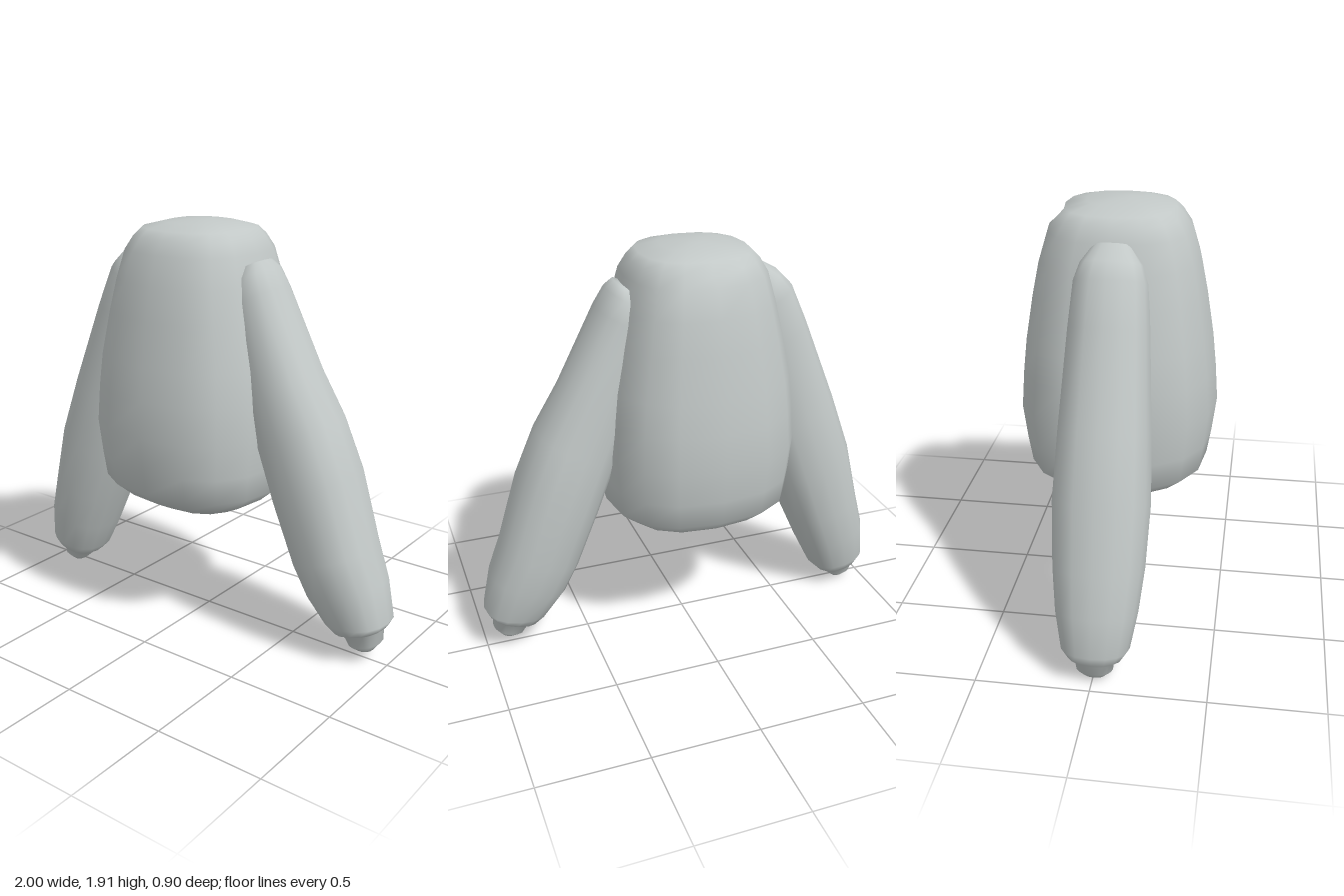
import * as THREE from 'three';

const SIDES = 16;

// Smooth closed skin through rings; each ring is [outerX, outerY, innerX, innerY, halfDepth].
function loft(rings, power, z0 = 0) {
  const [first, last] = [rings[0], rings[rings.length - 1]];
  // Wind every skin the same way, whichever way its rings run
  const flip = (first[0] - first[2]) * (last[1] - first[1]) < 0;
  const list = flip ? [...rings].reverse() : rings;
  const pos = [], index = [];
  const round = (t) => Math.sign(t) * Math.pow(Math.abs(t), 2 / power);
  for (const [ox, oy, ix, iy, hz] of list) {
    for (let j = 0; j < SIDES; j++) {
      const a = (j / SIDES) * Math.PI * 2;
      const c = round(Math.cos(a)), s = round(Math.sin(a));
      pos.push((ox + ix) / 2 + ((ox - ix) / 2) * c, (oy + iy) / 2 + ((oy - iy) / 2) * c, z0 + hz * s);
    }
  }
  for (let i = 0; i < list.length - 1; i++) {
    for (let j = 0; j < SIDES; j++) {
      const k = (j + 1) % SIDES;
      const a = i * SIDES + j, b = i * SIDES + k;
      index.push(a, a + SIDES, b, b, a + SIDES, b + SIDES);
    }
  }
  // Closing fans
  const n = list.length;
  for (const [row, end] of [[0, 0], [n - 1, 1]]) {
    const [ox, oy, ix, iy] = list[row];
    const centre = pos.length / 3;
    pos.push((ox + ix) / 2, (oy + iy) / 2, z0);
    for (let j = 0; j < SIDES; j++) {
      const a = row * SIDES + j, b = row * SIDES + ((j + 1) % SIDES);
      if (end) index.push(a, centre, b);
      else index.push(a, b, centre);
    }
  }
  const g = new THREE.BufferGeometry();
  g.setAttribute('position', new THREE.Float32BufferAttribute(pos, 3));
  g.setIndex(index);
  g.computeVertexNormals();
  return g;
}

export function createModel() {
  const group = new THREE.Group();
  const grey = new THREE.MeshStandardMaterial({ color: 0xc2c8c7 });
  grey.name = 'soft grey';
  const add = (name, geometry) => {
    const mesh = new THREE.Mesh(geometry, grey);
    mesh.name = name;
    group.add(mesh);
  };

  // Torso: rounded-square rings of [y, half width, half depth], bottom to top
  const cx = -0.05;
  const profile = [
    [0.55, 0.02, 0.02], [0.575, 0.25, 0.23], [0.63, 0.35, 0.33], [0.7, 0.43, 0.41],
    [0.82, 0.443, 0.43], [0.98, 0.457, 0.45], [1.15, 0.446, 0.438], [1.3, 0.43, 0.422],
    [1.5, 0.39, 0.39], [1.65, 0.355, 0.36], [1.78, 0.32, 0.32], [1.84, 0.285, 0.28],
    [1.875, 0.25, 0.245], [1.9, 0.15, 0.15], [1.91, 0.05, 0.05],
  ];
  const torso = loft(profile.map(([y, w, d]) => [cx + w, y, cx - w, y, d]), 2.5);
  // Small pucker at the back of the top
  const pucker = 11 * SIDES + 12;
  const p = torso.attributes.position;
  p.setXYZ(pucker, p.getX(pucker), p.getY(pucker) - 0.03, p.getZ(pucker) + 0.03);
  torso.computeVertexNormals();
  add('torso', torso);

  // Arms: slanted rings from shoulder to stubby hand
  add('rightArm', loft([
    [-0.37, 1.79, -0.31, 1.75, 0.08],
    [-0.46, 1.74, -0.27, 1.65, 0.135],
    [-0.52, 1.68, -0.24, 1.56, 0.16],
    [-0.6, 1.5, -0.28, 1.37, 0.175],
    [-0.76, 1.1, -0.38, 0.95, 0.2],
    [-0.86, 0.82, -0.47, 0.67, 0.212],
    [-0.93, 0.53, -0.57, 0.43, 0.2],
    [-0.98, 0.35, -0.65, 0.25, 0.18],
    [-1.0, 0.17, -0.72, 0.11, 0.15],
    [-0.98, 0.12, -0.76, 0.07, 0.12],
    [-0.965, 0.1, -0.8, 0.06, 0.085],
    [-0.95, 0.05, -0.82, 0.03, 0.08],
    [-0.92, 0.012, -0.85, 0.004, 0.045],
  ], 2.3, 0.005));
  add('leftArm', loft([
    [0.31, 1.76, 0.23, 1.72, 0.09],
    [0.35, 1.73, 0.18, 1.64, 0.135],
    [0.4, 1.65, 0.14, 1.52, 0.16],
    [0.58, 1.3, 0.26, 1.13, 0.18],
    [0.7, 1.1, 0.34, 0.92, 0.2],
    [0.8, 0.87, 0.43, 0.69, 0.212],
    [0.9, 0.55, 0.54, 0.42, 0.2],
    [0.96, 0.4, 0.61, 0.28, 0.18],
    [1.0, 0.22, 0.7, 0.17, 0.15],
    [0.985, 0.19, 0.75, 0.12, 0.12],
    [0.965, 0.17, 0.79, 0.11, 0.085],
    [0.965, 0.11, 0.82, 0.07, 0.08],
    [0.93, 0.062, 0.85, 0.054, 0.045],
  ], 2.3, 0.005));

  return group;
}
